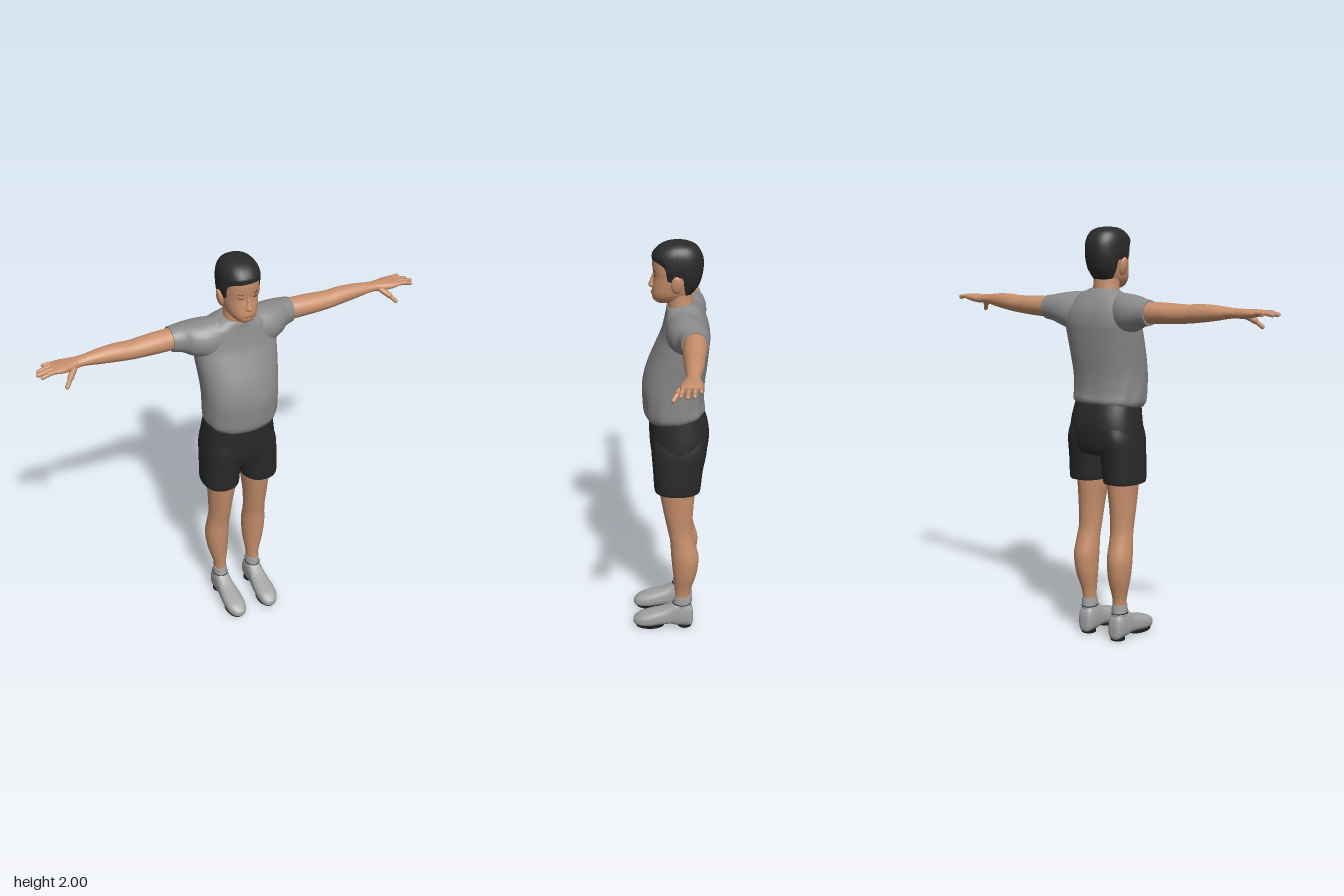
import * as THREE from 'three';

const mat = (name, color) => {
  const m = new THREE.MeshStandardMaterial({ color, side: THREE.DoubleSide });
  m.name = name;
  return m;
};

// Smooth interpolation through sections [t, a0, a1, b0, b1]; u runs 0..1
function sample(S, u) {
  const f = u * (S.length - 1), i = Math.min(Math.floor(f), S.length - 2), k = f - i;
  const at = (n) => S[Math.max(0, Math.min(S.length - 1, n))];
  return S[0].map((_, c) => {
    const p0 = at(i - 1)[c], p1 = at(i)[c], p2 = at(i + 1)[c], p3 = at(i + 2)[c];
    return p1 + 0.5 * k * (p2 - p0 + k * (2 * p0 - 5 * p1 + 4 * p2 - p3 + k * (3 * (p1 - p2) + p3 - p0)));
  });
}

// Point on the super-elliptic ring of a section, for a loft along the given axis
function ringPoint([t, a0, a1, b0, b1], ang, axis, pow, grow = 0) {
  const round = (v) => Math.sign(v) * Math.abs(v) ** (2 / pow);
  const a = (a0 + a1) / 2 + ((a1 - a0) / 2 + grow) * round(Math.cos(ang));
  const b = (b0 + b1) / 2 + ((b1 - b0) / 2 + grow) * round(Math.sin(ang));
  if (axis === 'y') return new THREE.Vector3(a, t, b);
  return axis === 'x' ? new THREE.Vector3(t, a, b) : new THREE.Vector3(a, b, t);
}

// Closed tube surface from fn(u, angle), with flat end caps and outward faces
function tubeSurface(fn, nu, nv) {
  const pos = [], idx = [];
  const ring = (u) => {
    const start = pos.length / 3;
    for (let j = 0; j < nv; j++) pos.push(...fn(u, (j / nv) * Math.PI * 2).toArray());
    return start;
  };
  for (let i = 0; i <= nu; i++) ring(i / nu);
  for (let i = 0; i < nu; i++) for (let j = 0; j < nv; j++) {
    const a = i * nv + j, b = i * nv + (j + 1) % nv;
    idx.push(a, a + nv, b, b, a + nv, b + nv);
  }
  for (const u of [0, 1]) {
    const s = ring(u), c = pos.length / 3, mid = [0, 0, 0];
    for (let j = 0; j < nv; j++) for (let k = 0; k < 3; k++) mid[k] += pos[(s + j) * 3 + k] / nv;
    pos.push(...mid);
    for (let j = 0; j < nv; j++) {
      const a = s + j, b = s + (j + 1) % nv;
      if (u) idx.push(a, c, b); else idx.push(a, b, c);
    }
  }
  // Reverse all faces if the enclosed volume comes out negative
  const v = (n) => new THREE.Vector3().fromArray(pos, idx[n] * 3);
  let volume = 0;
  for (let n = 0; n < idx.length; n += 3) volume += v(n).dot(v(n + 1).cross(v(n + 2)));
  if (volume < 0) idx.reverse();
  const g = new THREE.BufferGeometry();
  g.setAttribute('position', new THREE.Float32BufferAttribute(pos, 3));
  g.setIndex(idx);
  g.computeVertexNormals();
  return g;
}

const loft = (S, axis, { pow = 2, side = 1, nv = 32, warp } = {}) =>
  tubeSurface((u, ang) => {
    const p = ringPoint(sample(S, u), ang, axis, pow);
    if (warp) warp(p, ang);
    p.x *= side;
    return p;
  }, (S.length - 1) * 5, nv);

const sym = (rows) => rows.map(([t, w, z0, z1]) => [t, -w, w, z0, z1]);

export function createModel() {
  const root = new THREE.Group();
  root.name = 'standingMan';
  const skin = mat('skin', 0xc8906c), hairMat = mat('hair', 0x2a2a2b), shirtMat = mat('shirt grey', 0x8b8b8b);
  const shortsMat = mat('shorts black', 0x29292a), shoeMat = mat('shoe grey', 0xa4a4a4);
  const soleMat = mat('sole black', 0x1c1c1c), lipMat = mat('lips', 0xa5664f), browMat = mat('brow brown', 0x5a4032);
  const add = (name, geo, material, parent = root) => {
    const m = new THREE.Mesh(geo, material);
    m.name = name;
    parent.add(m);
    return m;
  };
  const blob = (name, material, p, s) => {
    const m = add(name, new THREE.SphereGeometry(1, 20, 14), material);
    m.position.set(...p);
    m.scale.set(...s);
    return m;
  };
  const capsule = (name, a, b, r, parent) => {
    const A = new THREE.Vector3(...a), d = new THREE.Vector3(...b).sub(A);
    const m = add(name, new THREE.CapsuleGeometry(r, d.length(), 5, 10), skin, parent);
    m.position.copy(A).addScaledVector(d, 0.5);
    m.quaternion.setFromUnitVectors(new THREE.Vector3(0, 1, 0), d.normalize());
  };

  // Head and neck
  const H = sym([
    [1.714, 0.025, -0.01, 0.06], [1.73, 0.048, -0.07, 0.08], [1.76, 0.068, -0.1, 0.086], [1.8, 0.078, -0.125, 0.082],
    [1.84, 0.083, -0.138, 0.077], [1.88, 0.085, -0.144, 0.082], [1.92, 0.084, -0.142, 0.083], [1.95, 0.078, -0.13, 0.07],
    [1.975, 0.062, -0.11, 0.044], [1.99, 0.036, -0.075, 0.01], [1.994, 0.003, -0.033, -0.027]]);
  const headPow = 2.25;
  add('head', loft(H, 'y', { pow: headPow, nv: 48 }), skin);
  add('neck', loft(sym([[1.62, 0.085, -0.12, 0.0], [1.7, 0.066, -0.106, 0.014], [1.77, 0.064, -0.1, 0.02]]), 'y'), skin);

  // Hair cap: follows the head above a hairline that varies around it
  const headU = (y) => {
    let lo = 0, hi = 1;
    for (let n = 0; n < 30; n++) {
      const m = (lo + hi) / 2;
      if (sample(H, m)[0] < y) lo = m; else hi = m;
    }
    return lo;
  };
  const line = [[-1, 1.745], [-0.65, 1.755], [-0.35, 1.8], [-0.2, 1.85], [0.0, 1.85], [0.06, 1.828],
    [0.34, 1.83], [0.44, 1.895], [0.7, 1.912], [1, 1.92]];
  const hairline = (s) => {
    const i = Math.max(1, line.findIndex((p) => p[0] >= s - 1e-6)), [a, b] = [line[i - 1], line[i]];
    return a[1] + (b[1] - a[1]) * (s - a[0]) / (b[0] - a[0]);
  };
  add('hair', tubeSurface((v, ang) => {
    const u0 = headU(hairline(Math.sin(ang)));
    return ringPoint(sample(H, u0 + (1 - u0) * v), ang, 'y', headPow, 0.001 + 0.007 * Math.min(1, v * 6))
      .add(new THREE.Vector3(0, 0.006 * v, 0));
  }, 30, 72), hairMat);

  // Face details, set on the head surface
  const faceZ = (x, y) => {
    const [, , w, z0, z1] = sample(H, headU(y));
    return (z0 + z1) / 2 + (z1 - z0) / 2 * (1 - (Math.abs(x) / w) ** headPow) ** (1 / headPow);
  };
  add('nose', loft(sym([[1.783, 0.006, 0.06, 0.088], [1.79, 0.018, 0.05, 0.098], [1.8, 0.017, 0.05, 0.101],
    [1.82, 0.011, 0.05, 0.093], [1.85, 0.008, 0.05, 0.082]]), 'y'), skin);
  blob('mouth', lipMat, [0, 1.76, faceZ(0, 1.76)], [0.023, 0.006, 0.004]);
  for (const s of [1, -1]) {
    blob('eye', browMat, [s * 0.034, 1.847, faceZ(0.034, 1.847)], [0.012, 0.0045, 0.003]).rotation.y = s * 0.25;
    blob('eyebrow', browMat, [s * 0.036, 1.868, faceZ(0.036, 1.868)], [0.017, 0.003, 0.003]).rotation.y = s * 0.25;
    blob('ear', skin, [s * 0.09, 1.818, -0.028], [0.013, 0.043, 0.026]).rotation.z = -s * 0.2;
  }

  // Shirt body: dipped collar and hem, shallow folds near the waist
  add('shirt', loft(sym([
    [1.155, 0.163, -0.152, 0.112], [1.18, 0.178, -0.165, 0.126], [1.23, 0.181, -0.16, 0.132], [1.31, 0.183, -0.162, 0.135],
    [1.4, 0.19, -0.173, 0.114], [1.5, 0.2, -0.183, 0.072], [1.56, 0.203, -0.186, 0.046], [1.62, 0.195, -0.175, 0.03],
    [1.67, 0.16, -0.15, 0.022], [1.7, 0.1, -0.128, 0.02], [1.715, 0.07, -0.112, 0.016]]), 'y', {
    pow: 2.35, nv: 72, warp: (p, ang) => {
      const fold = 1 + 0.014 * Math.sin(11 * ang + 14 * p.y) * Math.max(0, 1 - Math.abs(p.y - 1.21) / 0.15);
      p.x *= fold;
      p.z *= fold;
      p.y -= 0.22 * Math.max(0, p.z + 0.07) * THREE.MathUtils.smoothstep(p.y, 1.64, 1.7);
      p.y -= 0.012 * Math.sin(ang) * (1 - THREE.MathUtils.smoothstep(p.y, 1.15, 1.25));
    } }), shirtMat);

  // Shorts seat
  add('shortsSeat', loft(sym([[0.93, 0.184, -0.16, 0.082], [0.97, 0.187, -0.177, 0.094], [1.05, 0.18, -0.187, 0.102],
    [1.12, 0.17, -0.178, 0.102], [1.19, 0.16, -0.152, 0.1]]), 'y', { pow: 2.4, nv: 48 }), shortsMat);

  for (const side of [1, -1]) {
    const tag = side > 0 ? 'left' : 'right';
    // Sleeve and arm
    add(tag + 'Sleeve', loft([[0.08, 1.5, 1.7, -0.14, 0.02], [0.16, 1.51, 1.695, -0.17, 0.02], [0.22, 1.53, 1.688, -0.175, 0],
      [0.26, 1.548, 1.68, -0.172, -0.03], [0.305, 1.557, 1.673, -0.168, -0.046]], 'x', { side, pow: 2.1 }), shirtMat);
    add(tag + 'Arm', loft([[0.27, 1.565, 1.668, -0.16, -0.055], [0.4, 1.57, 1.666, -0.155, -0.05], [0.5, 1.577, 1.663, -0.144, -0.05],
      [0.57, 1.585, 1.668, -0.14, -0.052], [0.65, 1.597, 1.666, -0.13, -0.055], [0.72, 1.61, 1.659, -0.118, -0.058],
      [0.77, 1.613, 1.656, -0.117, -0.055]], 'x', { side }), skin);

    // Hand with fingers and a drooping thumb
    const hand = new THREE.Group();
    hand.name = tag + 'Hand';
    root.add(hand);
    add('palm', loft([[0.755, 1.614, 1.656, -0.115, -0.056], [0.79, 1.613, 1.656, -0.122, -0.044], [0.825, 1.618, 1.657, -0.126, -0.033],
      [0.86, 1.626, 1.655, -0.122, -0.03], [0.875, 1.632, 1.65, -0.112, -0.036]], 'x', { side, pow: 2.4, nv: 24 }), skin, hand);
    const fingers = [[-0.112, 0.895, -0.115, 0.008], [-0.09, 0.93, -0.086, 0.009], [-0.066, 0.94, -0.059, 0.0095], [-0.042, 0.928, -0.032, 0.009]];
    for (const [z0, x1, z1, r] of fingers) {
      capsule('finger', [side * 0.85, 1.643, z0], [side * 0.9, 1.643, (z0 + z1) / 2], r + 0.001, hand);
      capsule('fingertip', [side * 0.89, 1.643, (z0 + z1) / 2], [side * x1, 1.636, z1], r, hand);
    }
    capsule('thumbBase', [side * 0.775, 1.628, -0.062], [side * 0.808, 1.602, -0.025], 0.014, hand);
    capsule('thumb', [side * 0.808, 1.602, -0.025], [side * 0.832, 1.576, -0.004], 0.01, hand);

    // Shorts leg and bare leg
    add(tag + 'ShortsLeg', loft([[0.79, 0.014, 0.193, -0.143, 0.076], [0.81, 0.011, 0.195, -0.147, 0.08], [0.9, 0.006, 0.192, -0.157, 0.085],
      [1.0, 0, 0.186, -0.175, 0.092], [1.06, 0.01, 0.17, -0.17, 0.085]], 'y', { side, pow: 2.3 }), shortsMat);
    add(tag + 'Leg', loft([[0.12, 0.062, 0.128, -0.1, -0.02], [0.2, 0.063, 0.127, -0.1, -0.022], [0.3, 0.05, 0.151, -0.128, -0.014],
      [0.36, 0.046, 0.16, -0.138, -0.008], [0.42, 0.044, 0.163, -0.139, -0.003], [0.5, 0.045, 0.157, -0.118, 0.002],
      [0.56, 0.042, 0.153, -0.108, 0.014], [0.65, 0.036, 0.157, -0.11, 0.032], [0.78, 0.02, 0.164, -0.12, 0.055],
      [0.85, 0.02, 0.17, -0.125, 0.06]], 'y', { side }), skin);

    // Sock, shoe and sole pads
    add(tag + 'Sock', loft([[0.1, 0.056, 0.132, -0.106, -0.012], [0.14, 0.058, 0.131, -0.105, -0.014], [0.178, 0.06, 0.13, -0.104, -0.018]],
      'y', { side }), shoeMat);
    add(tag + 'Shoe', loft([[-0.115, 0.078, 0.11, 0.025, 0.08], [-0.106, 0.06, 0.127, 0.006, 0.118], [-0.08, 0.053, 0.134, 0.004, 0.144],
      [-0.03, 0.052, 0.135, 0.007, 0.145], [0, 0.051, 0.136, 0.014, 0.125], [0.04, 0.045, 0.14, 0.014, 0.104], [0.1, 0.04, 0.144, 0.007, 0.086],
      [0.15, 0.045, 0.138, 0.006, 0.07], [0.18, 0.06, 0.118, 0.01, 0.052], [0.19, 0.078, 0.1, 0.02, 0.04]], 'z', { side, pow: 2.7 }), shoeMat);
    for (const [name, z, rx, rz] of [['heelPad', -0.072, 0.036, 0.036], ['toePad', 0.105, 0.044, 0.072]]) {
      const pad = add(tag + name, new THREE.CylinderGeometry(1, 1, 0.012, 28), soleMat);
      pad.position.set(side * 0.092, 0.006, z);
      pad.scale.set(rx, 1, rz);
    }
    const collar = add(tag + 'ShoeCollar', new THREE.TorusGeometry(1, 0.05, 6, 28).rotateX(Math.PI / 2), soleMat);
    collar.position.set(side * 0.0945, 0.136, -0.058);
    collar.scale.set(0.037, 0.05, 0.046);
  }
  return root;
}
